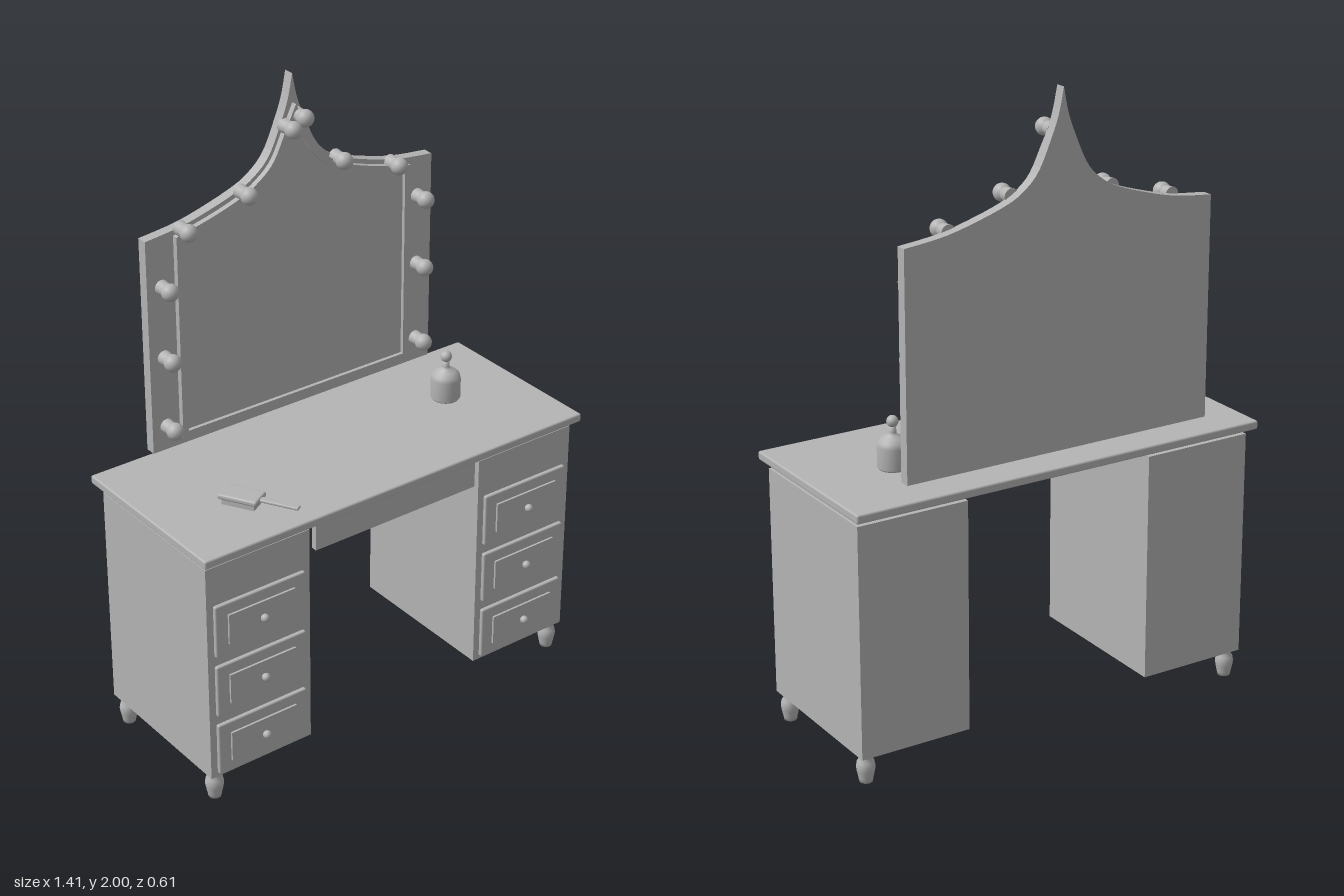
import * as THREE from 'three';
import { RoundedBoxGeometry } from 'three/addons/geometries/RoundedBoxGeometry.js';

const grey = new THREE.MeshStandardMaterial({ color: 0xb4b4b4 });
grey.name = 'plain grey';

function add(parent, name, geometry, x = 0, y = 0, z = 0) {
  const mesh = new THREE.Mesh(geometry, grey);
  mesh.name = name;
  mesh.position.set(x, y, z);
  parent.add(mesh);
  return mesh;
}

// Box given by its extents
function block(parent, name, x0, x1, y0, y1, z0, z1, radius = 0) {
  const s = [x1 - x0, y1 - y0, z1 - z0];
  const g = radius ? new RoundedBoxGeometry(...s, 2, radius) : new THREE.BoxGeometry(...s);
  return add(parent, name, g, (x0 + x1) / 2, (y0 + y1) / 2, (z0 + z1) / 2);
}

const lathe = (points, segments = 24) =>
  new THREE.LatheGeometry(points.map(([r, y]) => new THREE.Vector2(r, y)), segments);

// Symmetric outline: straight sides and bottom, two concave curves meeting at a peak
function archPoints(bottom, profile) {
  const curve = new THREE.SplineCurve(profile.map(([x, y]) => new THREE.Vector2(x, y)));
  const right = curve.getPoints(28);
  const left = right.slice(0, -1).reverse().map((p) => new THREE.Vector2(-p.x, p.y));
  const half = profile[0][0];
  return [new THREE.Vector2(-half, bottom), new THREE.Vector2(half, bottom), ...right, ...left];
}

const extrude = (shape, depth) =>
  new THREE.ExtrudeGeometry(shape, { depth, bevelEnabled: false });

function createPedestal(side) {
  const g = new THREE.Group();
  g.name = side > 0 ? 'leftPedestal' : 'rightPedestal';
  const cx = side * 0.503;
  block(g, 'cabinet', cx - 0.183, cx + 0.183, 0.09, 0.825, -0.27, 0.265);
  for (const y of [0.19, 0.398, 0.607]) {
    block(g, 'drawerFront', cx - 0.16, cx + 0.16, y - 0.088, y + 0.088, 0.26, 0.277, 0.005);
    block(g, 'drawerPanel', cx - 0.118, cx + 0.118, y - 0.05, y + 0.05, 0.27, 0.284);
    const stem = add(g, 'knobStem', new THREE.CylinderGeometry(0.006, 0.006, 0.02, 12), cx, y, 0.287);
    stem.rotation.x = Math.PI / 2;
    add(g, 'knob', new THREE.SphereGeometry(0.013, 16, 12), cx, y, 0.296);
  }
  // Turned feet stand under the outer corners only
  const foot = lathe([[0, 0], [0.02, 0], [0.022, 0.012], [0.027, 0.035], [0.029, 0.05],
    [0.026, 0.066], [0.019, 0.076], [0.022, 0.082], [0.022, 0.092], [0, 0.092]]);
  for (const z of [0.235, -0.235]) add(g, 'foot', foot, side * 0.656, 0, z);
  return g;
}

function createMirror() {
  const g = new THREE.Group();
  g.name = 'mirror';
  const board = new THREE.Shape(archPoints(0.915, [[0.523, 1.612], [0.4, 1.626], [0.3, 1.65],
    [0.2, 1.682], [0.14, 1.712], [0.085, 1.765], [0.04, 1.86], [0.016, 1.925], [0, 2]]));
  add(g, 'backBoard', extrude(board, 0.034), 0, 0, -0.273);

  // Raised frame around the glass
  const frame = new THREE.Shape(archPoints(0.945, [[0.427, 1.605], [0.3, 1.635], [0.2, 1.667],
    [0.14, 1.698], [0.083, 1.748], [0.038, 1.835], [0, 1.91]]));
  const opening = archPoints(0.962, [[0.407, 1.585], [0.3, 1.608], [0.2, 1.638],
    [0.13, 1.675], [0.07, 1.73], [0.03, 1.79], [0, 1.835]]);
  frame.holes.push(new THREE.Path(opening));
  add(g, 'frame', extrude(frame, 0.018), 0, 0, -0.239);
  add(g, 'glass', extrude(new THREE.Shape(opening), 0.006), 0, 0, -0.239);

  // Bulbs along both sides and the arch
  const bulbs = [[-0.473, 0.995], [-0.473, 1.225], [-0.473, 1.455], [0.467, 0.995],
    [0.467, 1.257], [0.467, 1.487], [-0.403, 1.623], [-0.19, 1.68], [-0.03, 1.845],
    [0.012, 1.872], [0.154, 1.7], [0.362, 1.627]];
  const socket = new THREE.CylinderGeometry(0.02, 0.023, 0.035, 18);
  const globe = new THREE.SphereGeometry(0.027, 20, 14);
  for (const [x, y] of bulbs) {
    add(g, 'bulbSocket', socket, x, y, -0.225).rotation.x = Math.PI / 2;
    add(g, 'bulb', globe, x, y, -0.193);
  }
  return g;
}

function createBrush() {
  const g = new THREE.Group();
  g.name = 'hairbrush';
  block(g, 'brushHead', -0.037, 0.037, 0.893, 0.911, -0.063, 0.063, 0.007);
  block(g, 'bristles', -0.028, 0.028, 0.875, 0.895, -0.052, 0.052);
  block(g, 'brushHandle', -0.011, 0.011, 0.897, 0.907, 0.055, 0.184, 0.004);
  g.position.set(-0.438, 0, 0.095);
  g.rotation.y = 0.52;
  return g;
}

export function createModel() {
  const model = new THREE.Group();
  model.name = 'dressingTable';

  block(model, 'tableTop', -0.705, 0.705, 0.847, 0.875, -0.305, 0.295, 0.006);
  block(model, 'apronDrawer', -0.3, 0.3, 0.747, 0.847, 0.25, 0.27);
  model.add(createPedestal(1), createPedestal(-1), createMirror(), createBrush());

  // Perfume bottle with a ball stopper
  const bottle = lathe([[0, 0], [0.043, 0], [0.047, 0.006], [0.047, 0.07], [0.043, 0.085],
    [0.03, 0.097], [0.014, 0.105], [0.011, 0.112], [0.011, 0.13], [0, 0.13]], 28);
  add(model, 'perfumeBottle', bottle, 0.435, 0.875, -0.04);
  add(model, 'bottleStopper', new THREE.SphereGeometry(0.018, 18, 12), 0.435, 1.02, -0.04);
  return model;
}
